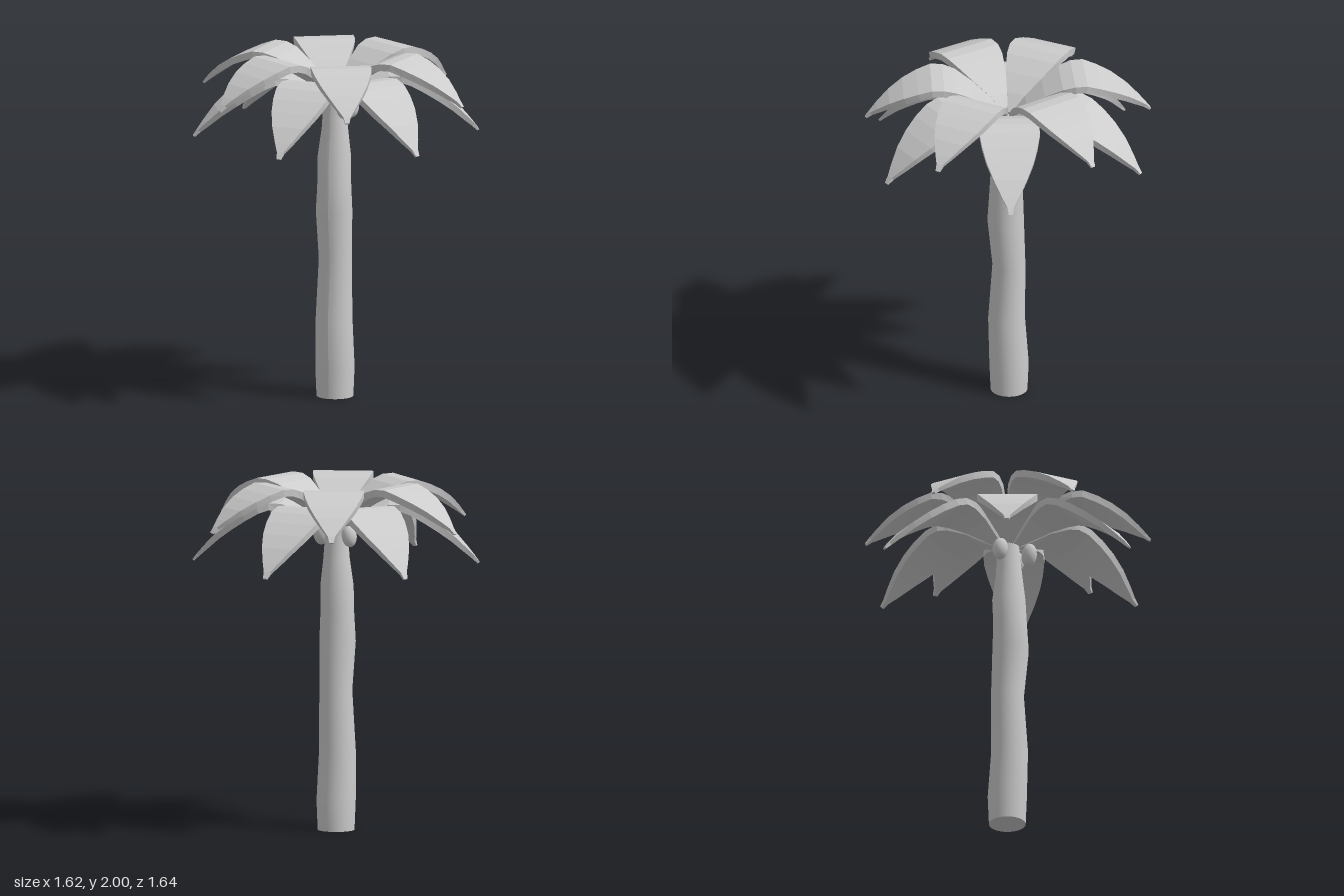
import * as THREE from 'three';

const grey = new THREE.MeshStandardMaterial({ color: 0xcccccc });
const greyFlat = new THREE.MeshStandardMaterial({ color: 0xcccccc, flatShading: true });

// Trunk rings from bottom to top: height, centre x, centre z, radius
const TRUNK = [
  [0, 0, -0.005, 0.105], [0.17, 0, -0.005, 0.112], [0.45, 0, 0.01, 0.105],
  [0.8, 0.002, -0.005, 0.094], [1.08, 0.002, 0.015, 0.104], [1.25, 0.002, 0.012, 0.096],
  [1.4, 0, 0.005, 0.095], [1.56, 0.003, 0.005, 0.075], [1.74, 0, 0, 0.062],
];

// Frond outline: distance from centre, half width, thickness
const OUTLINE = [
  [0.02, 0.011, 0.02], [0.1, 0.056, 0.03], [0.2, 0.112, 0.035], [0.3, 0.154, 0.04],
  [0.37, 0.17, 0.04], [0.44, 0.172, 0.04], [0.52, 0.158, 0.04], [0.6, 0.134, 0.038],
  [0.68, 0.096, 0.034], [0.75, 0.05, 0.027], [0.79, 0.02, 0.02], [0.815, 0.012, 0.012],
];
// Heights of the frond's upper face at the same stations
const UPPER = [1.76, 1.84, 1.915, 1.975, 1.998, 2.0, 1.972, 1.935, 1.886, 1.828, 1.79, 1.76];
const LOWER = [1.73, 1.79, 1.85, 1.886, 1.89, 1.866, 1.819, 1.762, 1.695, 1.62, 1.574, 1.54];

const UPPER_TIPS = [[0.81, 0.1], [0.34, 0.74], [-0.46, 0.67], [-0.81, -0.05], [-0.38, -0.72], [0.42, -0.7]];
const LOWER_TIPS = [[0, -0.82], [0.755, -0.33], [0.67, 0.475], [-0.05, 0.815], [-0.72, 0.38], [-0.7, -0.425]];

function trunkGeometry() {
  const rows = TRUNK.length - 1;
  const geo = new THREE.CylinderGeometry(1, 1, 1, 32, rows);
  const pos = geo.attributes.position;
  for (let i = 0; i < pos.count; i++) {
    const [y, cx, cz, r] = TRUNK[Math.round((pos.getY(i) + 0.5) * rows)];
    pos.setXYZ(i, cx + pos.getX(i) * r, y, cz + pos.getZ(i) * r);
  }
  geo.computeVertexNormals();
  return geo;
}

// Thick, flat-sectioned blade that arches along +x
function frondGeometry(heights) {
  const verts = [], index = [];
  const last = OUTLINE.length - 1;
  OUTLINE.forEach(([x, w, t], i) => {
    const a = Math.max(i - 1, 0), b = Math.min(i + 1, last);
    const slope = Math.atan2(heights[b] - heights[a], OUTLINE[b][0] - OUTLINE[a][0]);
    const y = heights[i];
    const bx = i === 0 ? x : x + Math.sin(slope) * t, by = y - Math.cos(slope) * t;
    verts.push(x, y, -w, x, y, w, bx, by, w, bx, by, -w);
    if (i === last) return;
    for (let k = 0; k < 4; k++) {
      const p = i * 4 + k, p1 = i * 4 + (k + 1) % 4;
      index.push(p, p1, p1 + 4, p, p1 + 4, p + 4);
    }
  });
  const e = last * 4;
  index.push(0, 2, 1, 0, 3, 2, e, e + 1, e + 2, e, e + 2, e + 3);
  const geo = new THREE.BufferGeometry();
  geo.setAttribute('position', new THREE.Float32BufferAttribute(verts, 3));
  geo.setIndex(index);
  const flat = geo.toNonIndexed();
  flat.computeVertexNormals();
  return flat;
}

function frondRing(name, heights, tips) {
  const ring = new THREE.Group();
  ring.name = name;
  const geo = frondGeometry(heights);
  tips.forEach(([x, z], i) => {
    const frond = new THREE.Mesh(geo, greyFlat);
    frond.name = `${name}${i + 1}`;
    frond.rotation.y = Math.atan2(-z, x);
    const s = Math.hypot(x, z) / 0.815;
    frond.scale.set(s, 1, 1);
    ring.add(frond);
  });
  return ring;
}

export function createModel() {
  const tree = new THREE.Group();
  tree.name = 'palmTree';

  const trunk = new THREE.Mesh(trunkGeometry(), grey);
  trunk.name = 'trunk';
  tree.add(trunk);

  tree.add(frondRing('upperFrond', UPPER, UPPER_TIPS));
  tree.add(frondRing('lowerFrond', LOWER, LOWER_TIPS));

  // Coconuts under the crown: x, y, z, tilt about x, tilt about z
  const nut = new THREE.SphereGeometry(1, 20, 14);
  [[0.085, 1.7, 0.09, 0.2, 0.1], [0.1, 1.695, -0.003, -0.25, 0.1], [-0.085, 1.695, -0.005, 0, -0.15]]
    .forEach(([x, y, z, rx, rz], i) => {
      const coconut = new THREE.Mesh(nut, grey);
      coconut.name = `coconut${i + 1}`;
      coconut.position.set(x, y, z);
      coconut.rotation.set(rx, 0, rz);
      coconut.scale.set(0.044, 0.068, 0.044);
      tree.add(coconut);
    });

  return tree;
}
